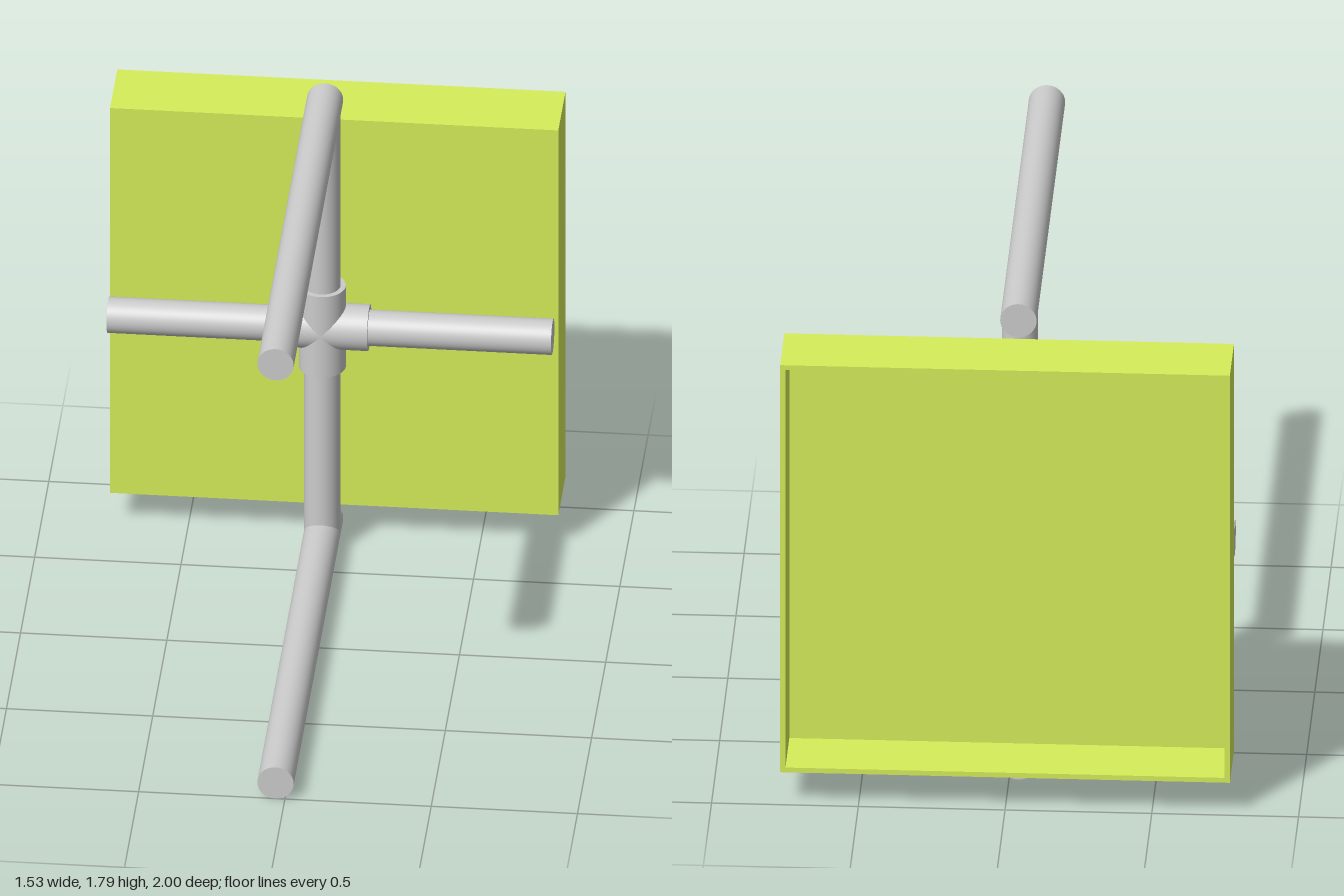
import * as THREE from 'three';

const grey = new THREE.MeshStandardMaterial({ color: 0xcccccc });
const lime = new THREE.MeshStandardMaterial({ color: 0xd6ee5a });

const PIPE_R = 0.062, FITTING_R = 0.08;
const CX = -0.032, CY = 0.882, CZ = -0.66; // centre of the cross fitting

// Capped round pipe running from point a to point b
function pipe(name, radius, a, b) {
  const start = new THREE.Vector3(...a), end = new THREE.Vector3(...b);
  const dir = end.clone().sub(start);
  const mesh = new THREE.Mesh(new THREE.CylinderGeometry(radius, radius, dir.length(), 48), grey);
  mesh.position.copy(start).add(end).multiplyScalar(0.5);
  mesh.quaternion.setFromUnitVectors(new THREE.Vector3(0, 1, 0), dir.normalize());
  mesh.name = name;
  return mesh;
}

// Shallow square tray, open towards the back
function createTray() {
  const tray = new THREE.Group();
  tray.name = 'tray';
  const w = 1.532, h = 1.53, depth = 0.255, t = 0.018;
  const rect = (Type, x, y) => new Type([
    new THREE.Vector2(-x, -y), new THREE.Vector2(x, -y),
    new THREE.Vector2(x, y), new THREE.Vector2(-x, y),
  ]);
  const outline = rect(THREE.Shape, w / 2, h / 2);
  outline.holes.push(rect(THREE.Path, w / 2 - t, h / 2 - t));
  const walls = new THREE.Mesh(new THREE.ExtrudeGeometry(outline, { depth, bevelEnabled: false }), lime);
  walls.name = 'trayWalls';
  const panel = new THREE.Mesh(new THREE.BoxGeometry(w - 2 * t, h - 2 * t, t), lime);
  panel.name = 'trayPanel';
  panel.position.z = depth - t / 2;
  tray.add(walls, panel);
  tray.position.set(0, 0.887, -1);
  return tray;
}

export function createModel() {
  const model = new THREE.Group();
  model.name = 'trayOnPipeFrame';
  model.add(createTray());

  // Long arms reaching forward at top and bottom
  const bottomY = PIPE_R, topY = 1.725;
  model.add(pipe('upperArm', PIPE_R, [CX, topY, -0.755], [CX, topY, 1]));
  model.add(pipe('lowerArm', PIPE_R, [CX, bottomY, -0.755], [CX, bottomY, 1]));

  // Upright and crossbar
  model.add(pipe('upright', PIPE_R, [CX, bottomY, CZ], [CX, topY, CZ]));
  model.add(pipe('crossbar', PIPE_R, [-0.764, CY, CZ], [0.755, CY, CZ]));

  // Four-way fitting: two crossing sleeves
  const fitting = new THREE.Group();
  fitting.name = 'crossFitting';
  fitting.add(pipe('verticalSleeve', FITTING_R, [CX, CY - 0.16, CZ], [CX, CY + 0.16, CZ]));
  fitting.add(pipe('horizontalSleeve', FITTING_R, [CX - 0.16, CY, CZ], [CX + 0.16, CY, CZ]));
  model.add(fitting);

  return model;
}
